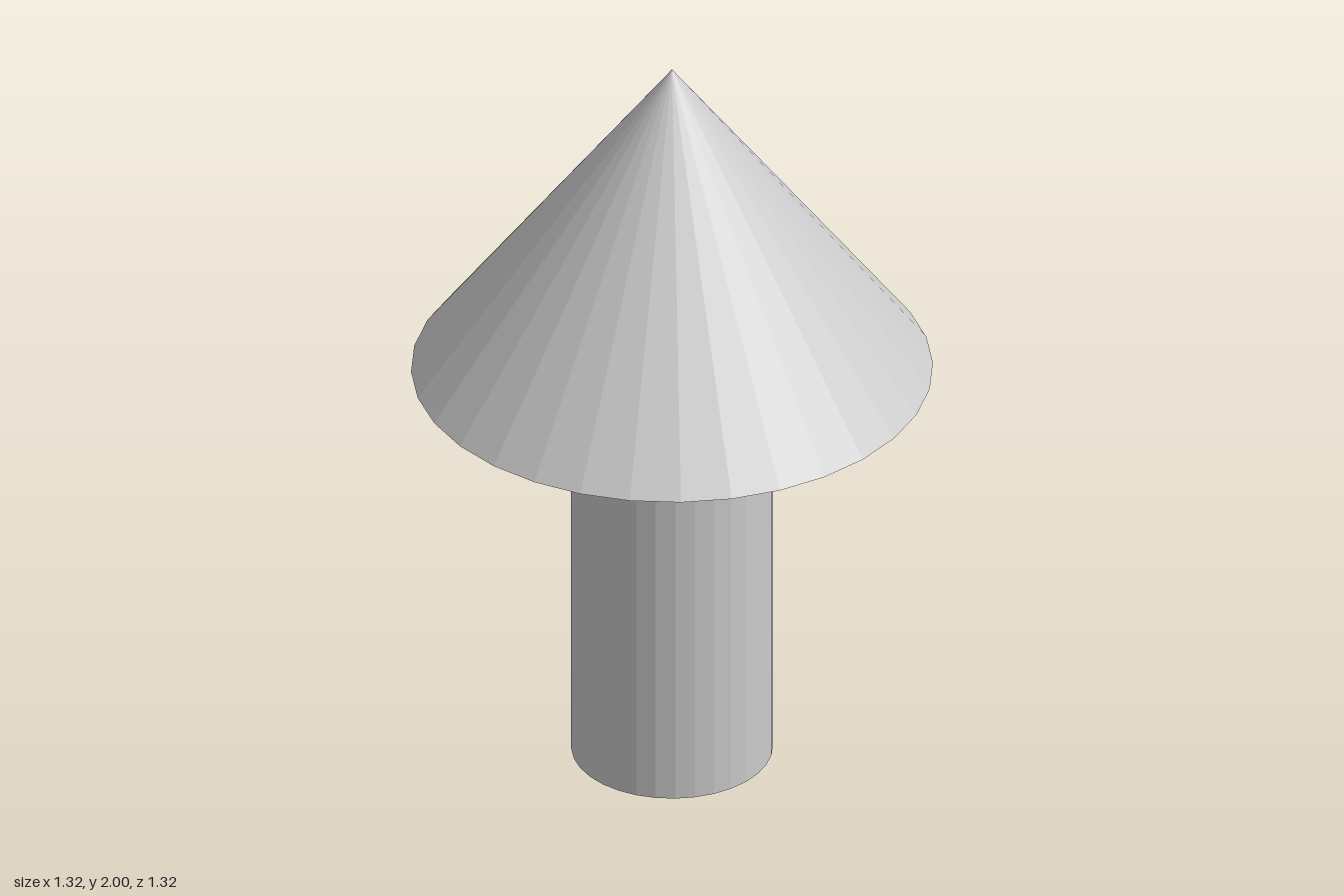
import * as THREE from 'three';

const SIDES = 32;
const BASE_Y = 1.12; // height where the head meets the shaft

export function createModel() {
  const group = new THREE.Group();
  const material = new THREE.MeshStandardMaterial({ color: 0xcccccc, flatShading: true });

  function addPart(name, geometry, y) {
    const mesh = new THREE.Mesh(geometry, material);
    mesh.name = name;
    mesh.position.y = y;
    group.add(mesh);
  }

  // Round upright shaft, standing on the ground
  addPart('shaft', new THREE.CylinderGeometry(0.255, 0.255, BASE_Y, SIDES), BASE_Y / 2);

  // Wide closed cone on top
  const headHeight = 2 - BASE_Y;
  addPart('coneHead', new THREE.ConeGeometry(0.66, headHeight, SIDES), BASE_Y + headHeight / 2);

  return group;
}
